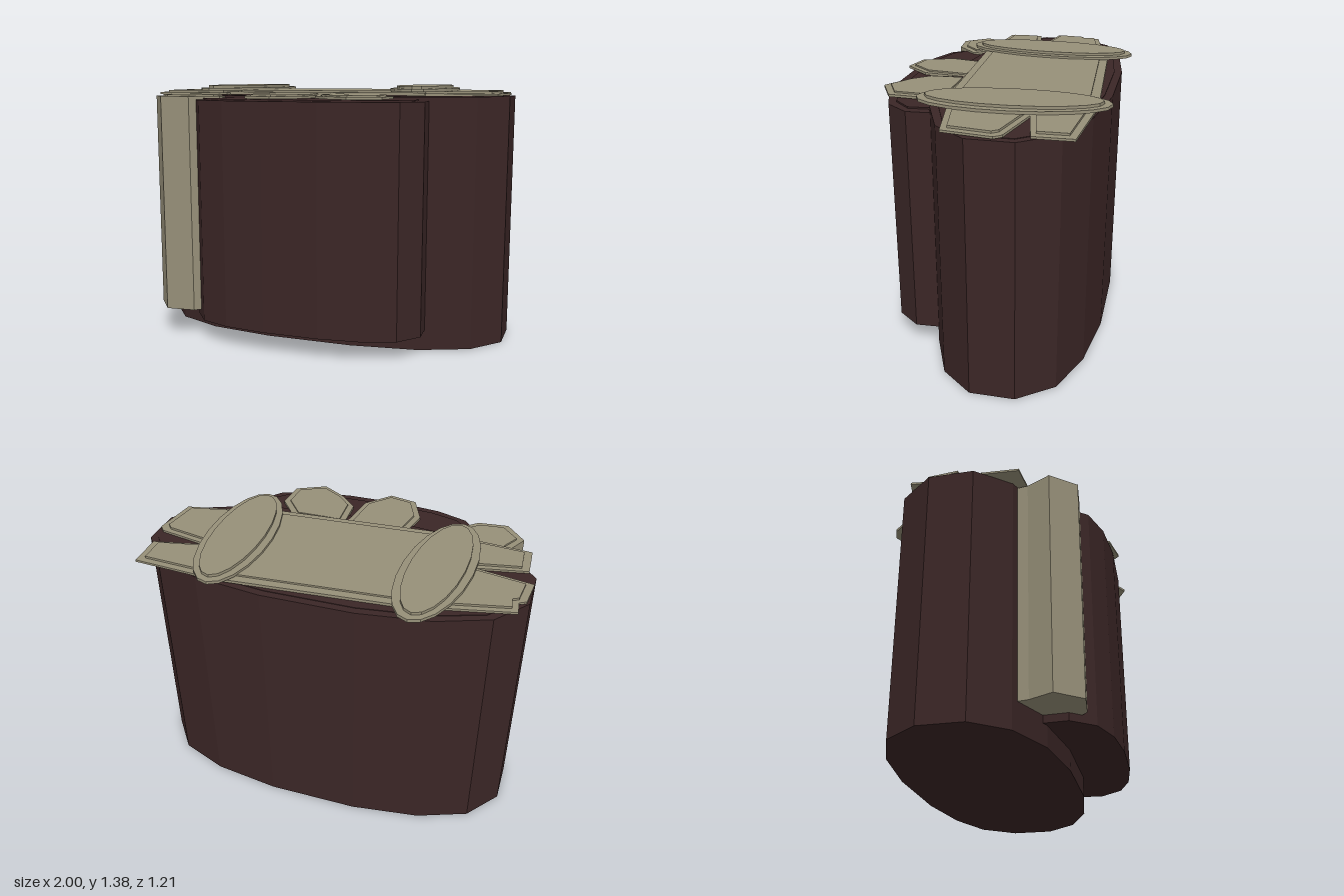
import * as THREE from 'three';

const brown = new THREE.MeshStandardMaterial({ color: 0x3b2626, flatShading: true });
brown.name = 'dark brown leather';
const tan = new THREE.MeshStandardMaterial({ color: 0x979079, flatShading: true });
tan.name = 'dull tan leather';

// Vertical prism over a plan outline of [x, z] points
function prism(name, pts, y0, y1, material) {
  const shape = new THREE.Shape(pts.map(([x, z]) => new THREE.Vector2(x, -z)));
  const geo = new THREE.ExtrudeGeometry(shape, { depth: y1 - y0, bevelEnabled: false });
  geo.rotateX(-Math.PI / 2).translate(0, y0, 0);
  const mesh = new THREE.Mesh(geo, material);
  mesh.name = name;
  return mesh;
}

// Shrinks an outline by a margin on each side of its bounds
function inset(pts, margin) {
  const axis = (i) => {
    const v = pts.map((p) => p[i]);
    const lo = Math.min(...v), hi = Math.max(...v);
    return { mid: (lo + hi) / 2, k: 1 - (2 * margin) / (hi - lo) };
  };
  const a = axis(0), b = axis(1);
  return pts.map(([x, z]) => [a.mid + (x - a.mid) * a.k, b.mid + (z - b.mid) * b.k]);
}

// A prism topped by a thin, smaller raised panel
function padded(name, pts, y0, y1, y2, margin, material) {
  const g = new THREE.Group();
  g.name = name;
  g.add(prism(name + 'Base', pts, y0, y1, material));
  g.add(prism(name + 'Panel', inset(pts, margin), y1, y2, material));
  return g;
}

function ellipse(cx, cz, rx, rz, tilt, n) {
  return Array.from({ length: n }, (_, i) => {
    const t = (i / n) * Math.PI * 2;
    const x = rx * Math.cos(t), z = rz * Math.sin(t);
    return [cx + x * Math.cos(tilt) - z * Math.sin(tilt), cz + x * Math.sin(tilt) + z * Math.cos(tilt)];
  });
}

export function createModel() {
  const model = new THREE.Group();
  model.name = 'pouch';

  // Main body: faceted oval, mirrored left to right
  const half = [[0.24, -0.58], [0.6, -0.53], [0.86, -0.43], [1, -0.25],
    [1, -0.02], [0.86, 0.15], [0.6, 0.26], [0.24, 0.31]];
  const oval = [...half, ...half.map(([x, z]) => [-x, z]).reverse()];
  model.add(padded('body', oval, 0, 1.33, 1.333, 0.04, brown));

  // Front pocket
  const side = [[0.63, 0.2], [0.64, 0.37], [0.545, 0.49], [0.38, 0.55], [0.15, 0.578]];
  const pocket = [...side, ...side.map(([x, z]) => [-x, z]).reverse()];
  model.add(padded('frontPocket', pocket, 0.11, 1.31, 1.318, 0.05, brown));

  // Tall side pocket on the right front corner
  model.add(padded('sidePocket', [[-0.82, 0.15], [-0.83, 0.22], [-0.89, 0.34], [-0.785, 0.47],
    [-0.625, 0.455], [-0.5, 0.34], [-0.5, 0.15]], 0.15, 1.328, 1.337, 0.04, tan));

  // Rounded tabs hanging over the front pocket
  const tabs = [
    [[-0.27, 0.2], [-0.31, 0.4], [-0.24, 0.57], [-0.09, 0.605], [0.03, 0.47], [0.065, 0.2]],
    [[0.07, 0.2], [0.08, 0.41], [0.17, 0.51], [0.31, 0.6], [0.465, 0.52], [0.475, 0.35], [0.36, 0.2]],
  ];
  tabs.forEach((p, i) => model.add(padded('frontTab' + (i + 1), p, 1.322, 1.335, 1.343, 0.035, tan)));

  // Strap ends reaching past each side
  const straps = [
    [[-0.5, -0.46], [-0.96, -0.36], [-0.95, -0.28], [-0.985, -0.26], [-1, -0.1], [-0.5, 0]],
    [[-0.5, -0.08], [-0.96, 0.01], [-0.95, 0.2], [-0.5, 0.25]],
    [[0.5, -0.535], [0.945, -0.5], [0.95, -0.305], [0.5, -0.21]],
    [[0.5, -0.285], [0.96, -0.185], [0.99, -0.15], [0.955, 0.1], [0.5, 0.19]],
  ];
  straps.forEach((p, i) => model.add(padded('strapEnd' + (i + 1), p, 1.334, 1.345, 1.356, 0.04, tan)));

  // Broad flap across the top
  model.add(padded('topFlap', [[-0.56, -0.47], [0.5, -0.54], [0.6, 0.2], [-0.48, 0.25]],
    1.336, 1.35, 1.359, 0.05, tan));

  // Two long oval pads crossing the flap
  for (const s of [-1, 1]) {
    model.add(padded(s < 0 ? 'rightPad' : 'leftPad',
      ellipse(s * 0.53, -0.135, 0.178, 0.475, -s * 0.07, 20), 1.356, 1.371, 1.385, 0.04, tan));
  }
  return model;
}
